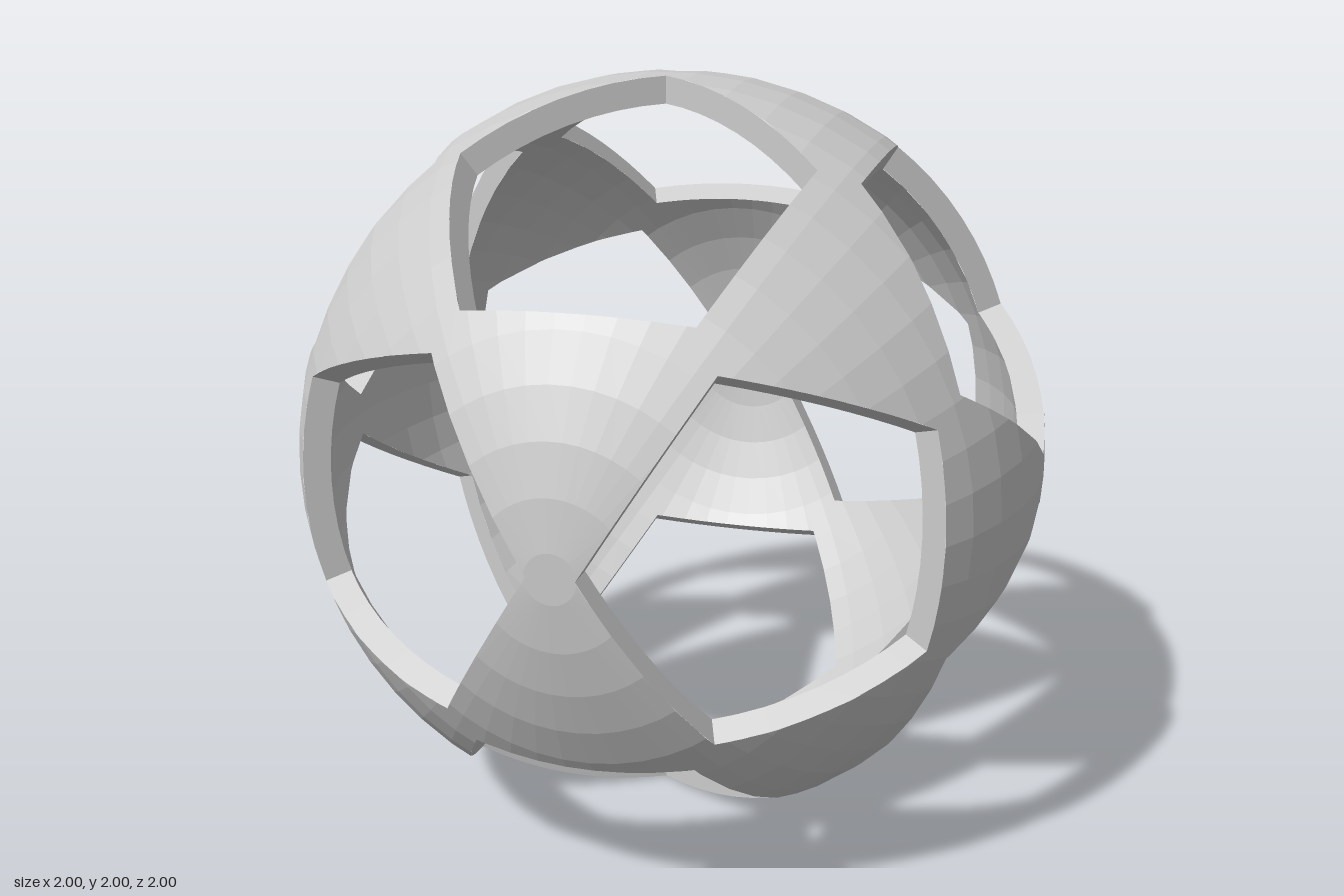
import * as THREE from 'three';

const OUTER = 1, INNER = 0.93, NECK = 0.05; // shell radii, half thickness of the necks
const SIDES = 50, RINGS = 25;
const V = (x, y, z) => new THREE.Vector3(x, y, z);

// all sign changes and cyclic permutations of a point
function family(a, b, c) {
  const list = [];
  for (const sa of a ? [1, -1] : [1]) for (const sb of b ? [1, -1] : [1]) for (const sc of c ? [1, -1] : [1]) {
    const [x, y, z] = [a * sa, b * sb, c * sc];
    list.push(V(x, y, z), V(y, z, x), V(z, x, y));
  }
  return list;
}

// twelve five-sided holes, each bounded by planes parallel to great circles
function makeHoles() {
  const phi = (1 + Math.sqrt(5)) / 2;
  const necks = [...family(0, 0, 1), ...family(0.5, phi / 2, 0.5 / phi)];
  return family(1, 0, phi).map((axis) => {
    axis.normalize();
    const corners = necks.filter((v) => v.dot(axis) > 0.84);
    const e1 = corners[0].clone().addScaledVector(axis, -corners[0].dot(axis)).normalize();
    const e2 = axis.clone().cross(e1);
    const angle = (v) => Math.atan2(v.dot(e2), v.dot(e1));
    corners.sort((a, b) => angle(a) - angle(b));
    const normals = corners.map((v, i) => v.clone().cross(corners[(i + 1) % 5]).normalize());
    return { corners, normals };
  });
}

// faceted sphere polygons with the poles on z and a flat cap at each pole
function spherePolygons(radius) {
  const ring = (i) => Array.from({ length: SIDES }, (_, j) => {
    const t = Math.PI * (i + 0.5) / RINGS, a = 2 * Math.PI * j / SIDES;
    return V(Math.sin(t) * Math.cos(a), Math.sin(t) * Math.sin(a), Math.cos(t)).multiplyScalar(radius);
  });
  const rings = Array.from({ length: RINGS }, (_, i) => ring(i));
  const polys = [rings[0], rings[RINGS - 1].slice().reverse()];
  for (let i = 0; i < RINGS - 1; i++) for (let j = 0; j < SIDES; j++) {
    const k = (j + 1) % SIDES;
    polys.push([rings[i][j], rings[i + 1][j], rings[i + 1][k], rings[i][k]]);
  }
  return polys;
}

// split a convex polygon by the plane n.p = NECK
function split(poly, n) {
  const inside = [], outside = [];
  poly.forEach((p, i) => {
    const q = poly[(i + 1) % poly.length];
    const dp = p.dot(n) - NECK, dq = q.dot(n) - NECK;
    if (dp >= 0) inside.push(p);
    if (dp <= 0) outside.push(p);
    if (dp * dq < 0) {
      const m = p.clone().lerp(q, dp / (dp - dq));
      inside.push(m);
      outside.push(m);
    }
  });
  return { inside, outside };
}

// cut one hole out of a polygon list; untouched polygons stay whole
function cutHole(polys, hole) {
  return polys.flatMap((poly) => {
    const kept = [];
    let rest = poly;
    for (const n of hole.normals) {
      const { inside, outside } = split(rest, n);
      if (outside.length > 2) kept.push(outside);
      rest = inside;
      if (rest.length < 3) return [poly];
    }
    return kept;
  });
}

// walls joining the outer and inner skins around a hole
function holeWalls({ corners, normals }, steps = 8) {
  const polys = [];
  const cornerAt = (i, radius) => {
    // the two wall planes at a corner meet along a line parallel to the neck direction
    const v = corners[i % 5], n = normals[i % 5];
    const u = n.clone().add(normals[(i + 4) % 5]).normalize();
    const k = NECK / u.dot(n);
    return u.multiplyScalar(k).addScaledVector(v, Math.sqrt(radius * radius - k * k));
  };
  normals.forEach((n, i) => {
    const centre = n.clone().multiplyScalar(NECK);
    const arc = (radius) => {
      const a = cornerAt(i, radius), b = cornerAt(i + 1, radius);
      const r = Math.sqrt(radius * radius - NECK * NECK);
      return Array.from({ length: steps + 1 }, (_, s) =>
        a.clone().lerp(b, s / steps).sub(centre).setLength(r).add(centre));
    };
    const o = arc(OUTER * 0.998), q = arc(INNER * 0.998);
    for (let s = 0; s < steps; s++) polys.push([q[s], o[s], o[s + 1], q[s + 1]]);
  });
  return polys;
}

function polygonMesh(name, polys, material) {
  const points = [];
  for (const p of polys) for (let i = 1; i < p.length - 1; i++) points.push(p[0], p[i], p[i + 1]);
  const geometry = new THREE.BufferGeometry().setFromPoints(points);
  geometry.computeVertexNormals();
  const mesh = new THREE.Mesh(geometry, material);
  mesh.name = name;
  return mesh;
}

export function createModel() {
  const material = new THREE.MeshStandardMaterial({ color: 0xcccccc, flatShading: true });
  const holes = makeHoles();
  const outer = holes.reduce(cutHole, spherePolygons(OUTER));
  const inner = holes.reduce(cutHole, spherePolygons(INNER)).map((p) => p.slice().reverse());

  const group = new THREE.Group();
  group.name = 'openworkSphere';
  group.add(
    polygonMesh('outerShell', outer, material),
    polygonMesh('innerShell', inner, material),
    polygonMesh('holeWalls', holes.flatMap((h) => holeWalls(h)), material),
  );
  group.position.y = Math.cos(Math.PI / SIDES); // rests on a flat facet
  return group;
}
